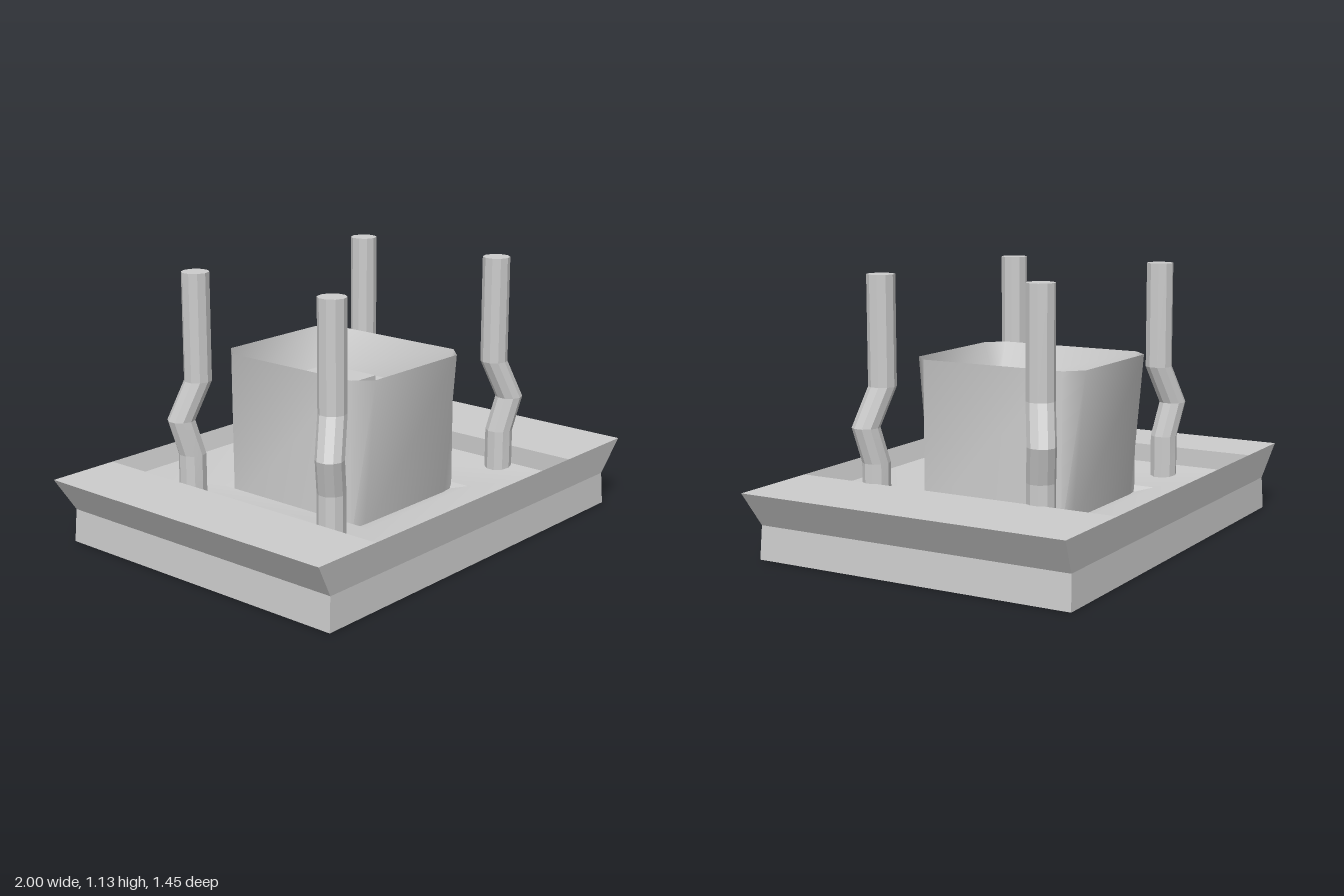
import * as THREE from 'three';
import { toCreasedNormals } from 'three/addons/utils/BufferGeometryUtils.js';

const material = new THREE.MeshStandardMaterial({ color: 0xcccccc });

// Rectangular ring at height y, with optional corner chamfer cx by cz (8 points).
function ring(x0, x1, z0, z1, y, cx, cz = cx) {
  const pts = cx === undefined
    ? [[x0, z1], [x1, z1], [x1, z0], [x0, z0]]
    : [[x0 + cx, z1], [x1 - cx, z1], [x1, z1 - cz], [x1, z0 + cz],
       [x1 - cx, z0], [x0 + cx, z0], [x0, z0 + cz], [x0, z1 - cz]];
  return pts.map(([x, z]) => new THREE.Vector3(x, y, z));
}

// Joins successive rings with faces; edges sharper than crease stay hard.
function loft(name, crease, rings) {
  const positions = [];
  const triangle = new THREE.Triangle();
  const add = (a, b, c) => {
    if (triangle.set(a, b, c).getArea() > 1e-7) {
      for (const p of [a, b, c]) positions.push(p.x, p.y, p.z);
    }
  };
  for (let r = 0; r < rings.length - 1; r++) {
    const a = rings[r], b = rings[r + 1], n = a.length;
    for (let i = 0; i < n; i++) {
      const j = (i + 1) % n;
      add(a[i], a[j], b[j]);
      add(a[i], b[j], b[i]);
    }
  }
  const geometry = new THREE.BufferGeometry();
  geometry.setAttribute('position', new THREE.Float32BufferAttribute(positions, 3));
  const mesh = new THREE.Mesh(toCreasedNormals(geometry, crease), material);
  mesh.name = name;
  return mesh;
}

// Vertical ten-sided post whose rings shift sideways to form the knee.
function post(sx, sz) {
  const path = [ // x, y, z from top to bottom
    [0.526, 1.127, 0.366], [0.526, 0.675, 0.366], [0.588, 0.512, 0.406],
    [0.552, 0.365, 0.383], [0.552, 0.18, 0.383],
  ];
  const geometry = new THREE.CylinderGeometry(0.058, 0.058, 4, 10, 4);
  const pos = geometry.attributes.position;
  for (let i = 0; i < pos.count; i++) {
    const [x, y, z] = path[Math.round(2 - pos.getY(i))];
    pos.setXYZ(i, pos.getX(i) + sx * x + 0.003, y, pos.getZ(i) + sz * z + 0.007);
  }
  const mesh = new THREE.Mesh(toCreasedNormals(geometry, 0.1), material);
  mesh.name = (sz > 0 ? 'front' : 'back') + (sx > 0 ? 'Left' : 'Right') + 'Post';
  return mesh;
}

export function createModel() {
  const group = new THREE.Group();

  // Flared tray with a recess open to front and back edges
  group.add(loft('base', 0.01, [
    ring(-0.33, 0.29, -0.35, 0.34, 0.02),
    ring(-0.92, 0.92, -0.705, 0.705, 0),
    ring(-0.91, 0.91, -0.7, 0.7, 0.14),
    ring(-1, 1, -0.725, 0.725, 0.285),
    ring(-0.685, 0.6, -0.725, 0.725, 0.285),
    ring(-0.685, 0.6, -0.7, 0.695, 0.205),
  ]));

  // Sunken floor dipping gently towards the tower
  group.add(loft('floor', 0.6, [
    ring(-0.685, 0.6, -0.7, 0.695, 0.205),
    ring(-0.36, 0.31, -0.42, 0.41, 0.17),
    ring(-0.34, 0.29, -0.32, 0.31, 0.14),
  ]));

  // Socket in the underside
  group.add(loft('socket', 0.3, [
    ring(-0.02, -0.02, 0, 0, 0.15, 0),
    ring(-0.14, 0.1, -0.12, 0.12, 0.17, 0.06),
    ring(-0.23, 0.19, -0.22, 0.22, 0.19, 0.1),
    ring(-0.23, 0.19, -0.22, 0.22, 0.13, 0.1),
    ring(-0.27, 0.23, -0.28, 0.27, 0.12, 0.002),
    ring(-0.33, 0.29, -0.35, 0.34, 0.02, 0.002),
  ]));

  // Tower with chamfered corners, undercut front and back, and a sunken top
  group.add(loft('tower', 0.8, [
    ring(-0.355, 0.307, -0.34, 0.335, 0.1, 0.068, 0.012),
    ring(-0.355, 0.307, -0.4, 0.39, 0.758, 0.068),
    ring(-0.295, 0.245, -0.34, 0.335, 0.59, 0.022),
    ring(-0.025, -0.025, 0, 0, 0.59, 0),
  ]));

  // Small block in the sunken top
  const block = new THREE.Mesh(new THREE.BoxGeometry(0.19, 0.08, 0.19), material);
  block.name = 'topBlock';
  block.position.set(-0.01, 0.608, -0.013);
  group.add(block);

  // Four kinked posts
  for (const sx of [-1, 1]) for (const sz of [-1, 1]) group.add(post(sx, sz));

  return group;
}
